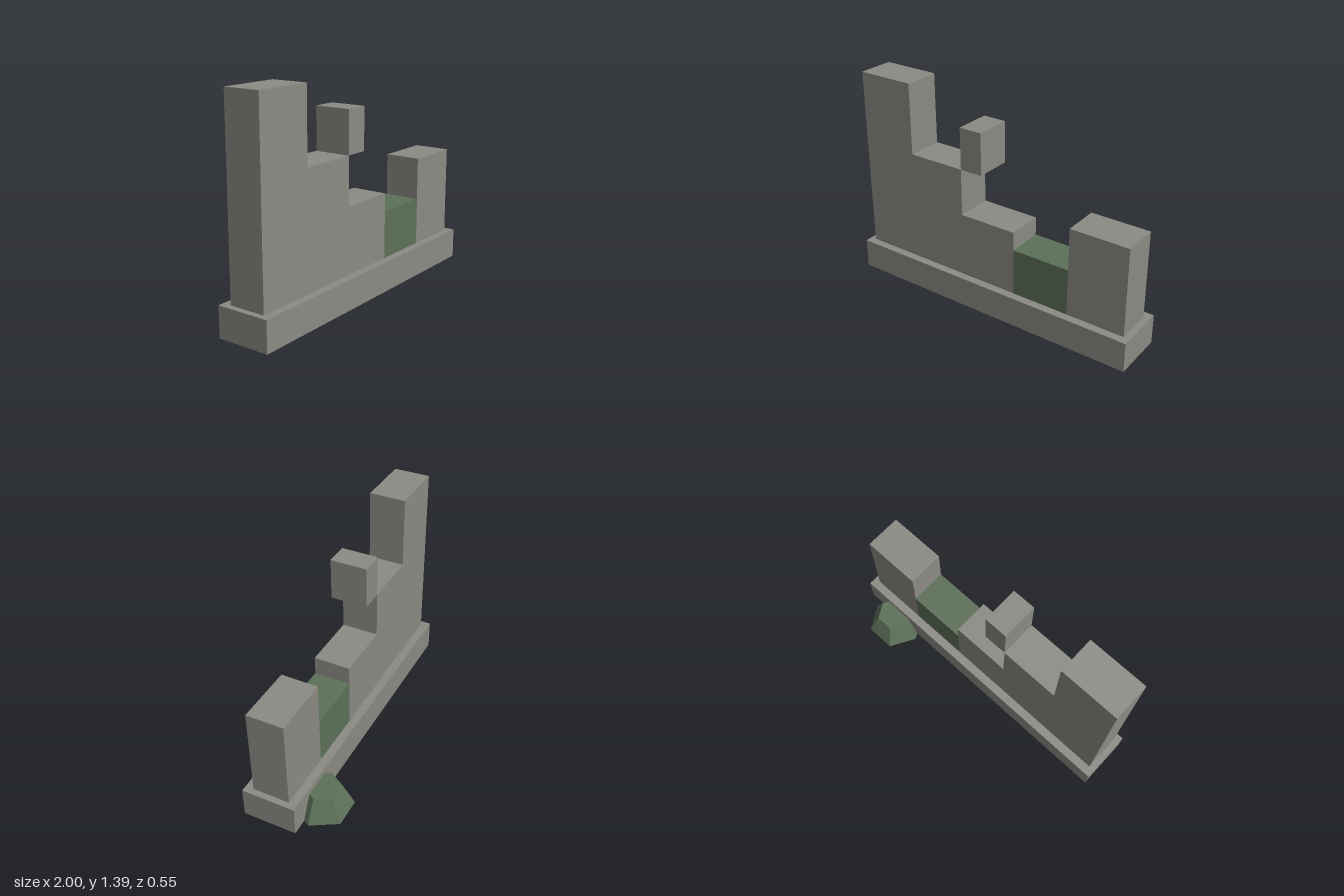
import * as THREE from 'three';

export function createModel() {
  const model = new THREE.Group();
  model.name = 'ruinedWall';

  const stone = new THREE.MeshStandardMaterial({ color: 0x8c8a84 });
  stone.name = 'weatheredStone';
  const moss = new THREE.MeshStandardMaterial({ color: 0x5c7058 });
  moss.name = 'mossyStone';

  const BASE_TOP = 0.195;
  const WALL_BACK = -0.016;
  const WALL_FRONT = 0.222;

  const add = (name, geometry, material) => {
    const mesh = new THREE.Mesh(geometry, material);
    mesh.name = name;
    model.add(mesh);
    return mesh;
  };

  // Box given by its limits along x, y and z
  const block = (name, material, x0, x1, y0, y1, z0 = WALL_BACK, z1 = WALL_FRONT) =>
    add(name, new THREE.BoxGeometry(x1 - x0, y1 - y0, z1 - z0), material)
      .position.set((x0 + x1) / 2, (y0 + y1) / 2, (z0 + z1) / 2);

  // Plinth under the whole wall
  block('plinth', stone, -1, 1, 0, BASE_TOP, -0.071, 0.274);

  // Broken wall stepping down from the tall end
  const steps = new THREE.Shape([
    [-0.962, BASE_TOP], [0.192, BASE_TOP], [0.192, 0.62], [-0.195, 0.62],
    [-0.195, 0.926], [-0.58, 0.926], [-0.58, 1.388], [-0.962, 1.388],
  ].map(([x, y]) => new THREE.Vector2(x, y)));
  add('steppedWall', new THREE.ExtrudeGeometry(steps, {
    depth: WALL_FRONT - WALL_BACK, bevelEnabled: false,
  }), stone).position.z = WALL_BACK;

  // Low mossy section and the standing end pier
  block('mossyWall', moss, 0.192, 0.577, BASE_TOP, 0.5);
  block('endPier', stone, 0.577, 0.96, BASE_TOP, 0.773);

  // Loose block touching the edge of the middle step
  block('looseBlock', stone, -0.195, -0.042, 0.927, 1.197);

  // Six-sided mossy boulder lying against the back of the plinth
  const boulder = new THREE.CylinderGeometry(0.115, 0.19, 0.155, 6, 1, false, Math.PI / 6).toNonIndexed();
  boulder.computeVertexNormals();
  add('mossyBoulder', boulder, moss).position.set(0.728, 0.0775, -0.109);

  return model;
}
